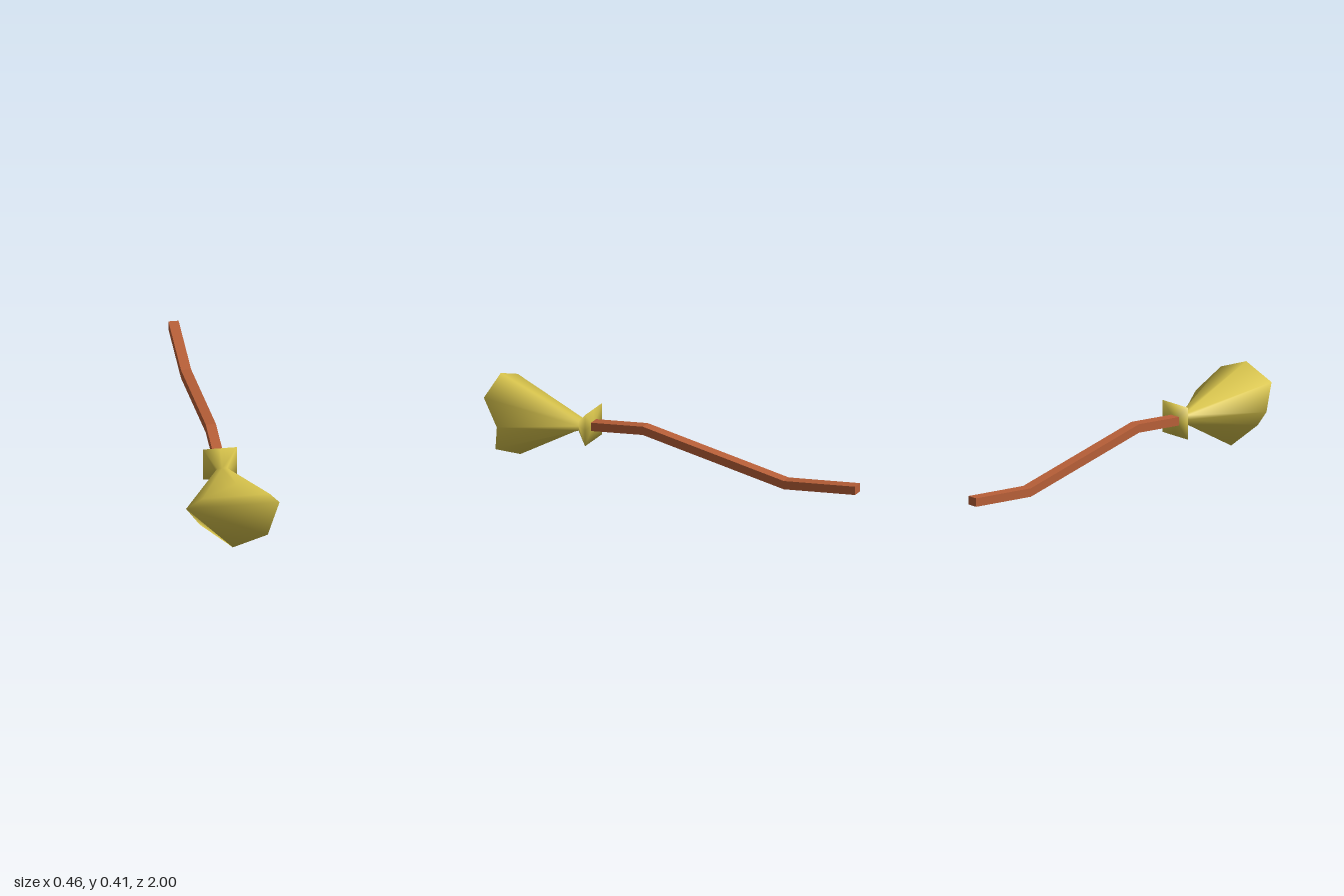
import * as THREE from 'three';

const straw = new THREE.MeshStandardMaterial({ color: 0xd8c44c });
straw.name = 'straw';
const wood = new THREE.MeshStandardMaterial({ color: 0xb85f38 });
wood.name = 'wood';

// Bent square stick: side profile [z, y] of the centre line, thickened and extruded across x
function makeHandle() {
  const path = [[-1, 0.235], [-0.6, 0.177], [0.19, 0.291], [0.5, 0.245]];
  const half = 0.022, width = 0.05;
  const shape = new THREE.Shape([
    ...path.map(([z, y]) => new THREE.Vector2(z, y - half)),
    ...path.map(([z, y]) => new THREE.Vector2(z, y + half)).reverse(),
  ]);
  const geo = new THREE.ExtrudeGeometry(shape, { depth: width, bevelEnabled: false });
  geo.translate(0, 0, -width / 2);
  geo.rotateY(-Math.PI / 2);
  const mesh = new THREE.Mesh(geo, wood);
  mesh.name = 'handle';
  return mesh;
}

// Eight points around a square, counter-clockwise seen from the front
function squareRing(half, y, z) {
  const dirs = [[1, 0], [1, 1], [0, 1], [-1, 1], [-1, 0], [-1, -1], [0, -1], [1, -1]];
  return dirs.map(([a, b]) => [a * half, y + b * half, z]);
}

// Straw bundle: square tail, pinched neck, flared uneven brush end
function makeBristles() {
  const rim = [
    [0.23, 0.233, 0.89], [0.165, 0.342, 1], [0, 0.41, 1], [-0.165, 0.342, 1],
    [-0.23, 0.233, 0.89], [-0.165, 0.147, 0.9], [0, 0.003, 0.89], [0.165, 0.083, 0.935],
  ];
  const rings = [squareRing(0.083, 0.25, 0.48), squareRing(0.024, 0.236, 0.55), rim];
  const points = rings.flat();
  const index = [];
  for (let r = 0; r < 2; r++) {
    for (let i = 0; i < 8; i++) {
      const a = r * 8 + i, b = r * 8 + (i + 1) % 8;
      index.push(a, b, b + 8, a, b + 8, a + 8);
    }
  }
  // Tail cap
  const centre = points.push([0, 0.25, 0.48]) - 1;
  for (let i = 0; i < 8; i++) index.push(centre, (i + 1) % 8, i);
  // Hollowed brush face, folded along the widest line
  const face = [[1, 2, 3], [1, 3, 4], [1, 4, 0], [0, 4, 7], [7, 4, 6], [6, 4, 5]];
  face.forEach((t) => index.push(...t.map((i) => 16 + i)));

  const geo = new THREE.BufferGeometry();
  geo.setAttribute('position', new THREE.Float32BufferAttribute(points.flat(), 3));
  geo.setIndex(index);
  geo.computeVertexNormals();
  const mesh = new THREE.Mesh(geo, straw);
  mesh.name = 'bristles';
  return mesh;
}

export function createModel() {
  const group = new THREE.Group();
  group.name = 'broom';
  group.add(makeHandle(), makeBristles());
  return group;
}
